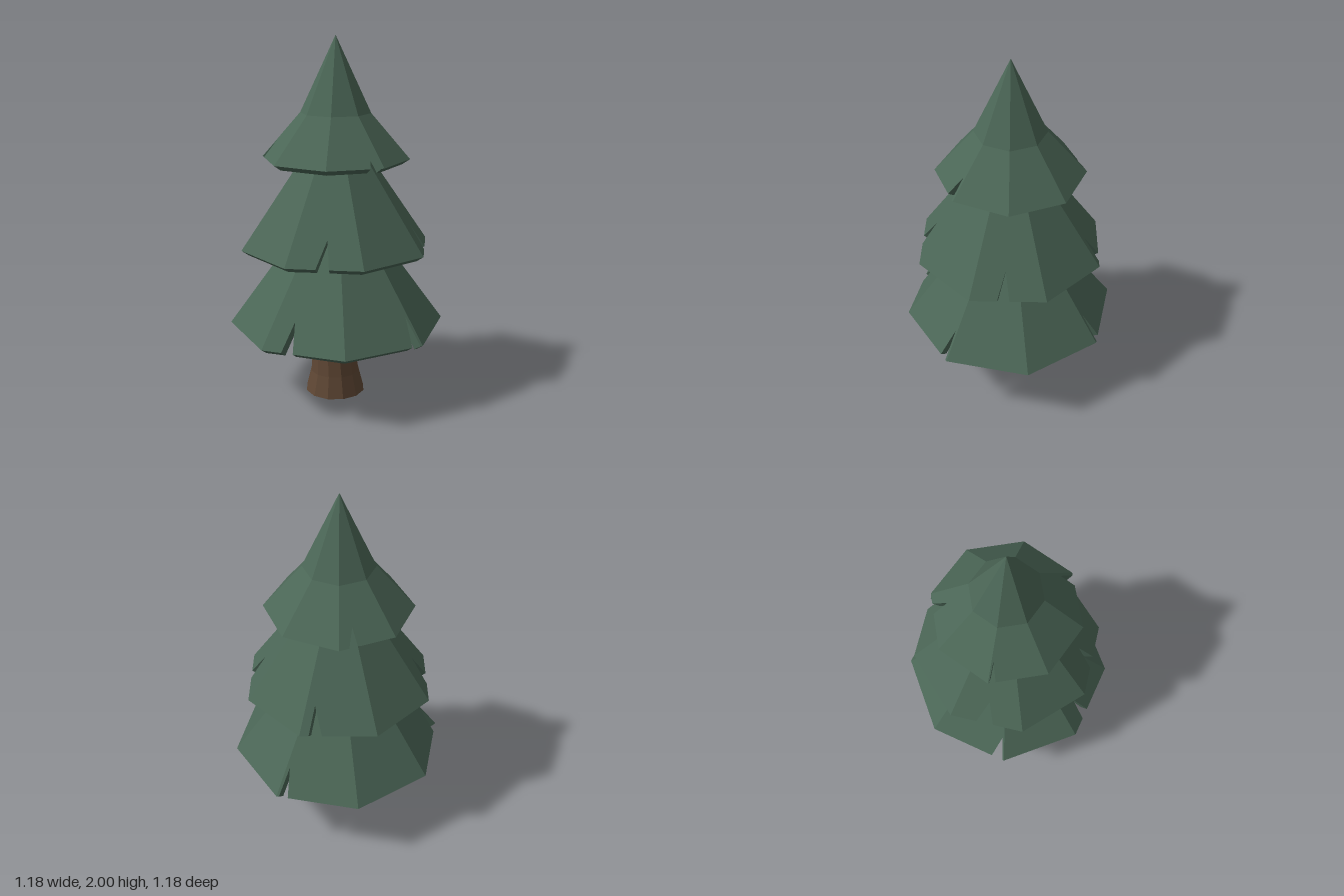
import * as THREE from 'three';

const lerp = (a, b, t) => a.clone().lerp(b, t);
const ring = (r, y, turn) => Array.from({ length: 8 }, (_, k) => {
  const a = THREE.MathUtils.degToRad(turn + 45 * k);
  return new THREE.Vector3(r * Math.cos(a), y, r * Math.sin(a));
});
// moves a point inwards and down by the shell thickness
function inset(p) {
  const r = Math.hypot(p.x, p.z);
  if (r < 0.04) return new THREE.Vector3(0, p.y - 0.08, 0);
  const s = (r - 0.04) / r;
  return new THREE.Vector3(p.x * s, p.y - 0.028, p.z * s);
}

// adds a closed band of triangles between two rows of points
function band(out, upper, lower, flip = false) {
  const add = (a, b, c) => {
    if (a.distanceTo(b) < 1e-5 || b.distanceTo(c) < 1e-5 || a.distanceTo(c) < 1e-5) return;
    for (const p of flip ? [a, c, b] : [a, b, c]) out.push(p.x, p.y, p.z);
  };
  upper.forEach((u, i) => {
    const j = (i + 1) % upper.length;
    add(u, upper[j], lower[i]);
    add(upper[j], lower[j], lower[i]);
  });
}

// hollow eight-sided skirt of branches; notches are [edge, start, tip, end, depth]
function skirt({ r, y, turn, topR, topY, tipY, notches }) {
  const low = ring(r, y, turn), high = ring(topR, topY, turn);
  const outer = [], upper = [];
  for (let k = 0; k < 8; k++) {
    const n = (k + 1) % 8;
    outer.push(low[k]);
    upper.push(high[k]);
    for (const [edge, t1, tip, t2, depth] of notches) {
      if (edge !== k) continue;
      const at = (t) => lerp(low[k], low[n], t);
      outer.push(at(t1), lerp(at(tip), lerp(high[k], high[n], tip), depth), at(t2));
      upper.push(high[k], high[k], high[n]);
    }
  }
  const rim = outer.map(inset), pos = [];
  band(pos, upper, outer);
  band(pos, outer, rim);
  band(pos, upper.map(inset), rim, true);
  // pointed crown
  if (tipY) band(pos, high.map(() => new THREE.Vector3(0, tipY, 0)), high);
  const g = new THREE.BufferGeometry();
  g.setAttribute('position', new THREE.Float32BufferAttribute(pos, 3));
  g.computeVertexNormals();
  return g;
}

// trunk with a flared foot, leaning slightly
function trunkGeometry() {
  const rows = [ // y, centre x, centre z, radius
    [0, -0.015, 0.017, 0.168],
    [0.12, -0.017, 0.02, 0.138],
    [0.385, -0.03, 0, 0.114],
    [0.95, -0.02, -0.005, 0.065],
  ];
  const g = new THREE.CylinderGeometry(1, 1, 3, 12, 3);
  const p = g.attributes.position;
  for (let i = 0; i < p.count; i++) {
    const [y, cx, cz, r] = rows[Math.round(p.getY(i) + 1.5)];
    p.setXYZ(i, cx + p.getX(i) * r, y, cz + p.getZ(i) * r);
  }
  g.computeVertexNormals();
  return g;
}

export function createModel() {
  const needles = new THREE.MeshStandardMaterial({ color: 0x4b6656, flatShading: true });
  needles.name = 'needleGreen';
  const bark = new THREE.MeshStandardMaterial({ color: 0x5f4734, flatShading: true });
  bark.name = 'barkBrown';

  const tree = new THREE.Group();
  tree.name = 'pineTree';
  const add = (name, geometry, material, x = 0, z = 0) => {
    const m = new THREE.Mesh(geometry, material);
    m.name = name;
    m.position.set(x, 0, z);
    tree.add(m);
  };

  add('trunk', trunkGeometry(), bark);
  add('lowerBranches', skirt({
    r: 0.6, y: 0.41, turn: 11.5, topR: 0, topY: 1.236,
    notches: [[1, 0.03, 0.04, 0.14, 0.17], [2, 0.62, 0.7, 0.76, 0.17],
      [4, 0.02, 0.03, 0.17, 0.17], [6, 0.86, 0.95, 0.97, 0.17]],
  }), needles);
  add('middleBranches', skirt({
    r: 0.533, y: 0.857, turn: 0, topR: 0, topY: 1.625,
    notches: [[0, 0.48, 0.54, 0.64, 0.175], [2, 0.44, 0.48, 0.61, 0.175],
      [4, 0.41, 0.5, 0.64, 0.175], [6, 0.71, 0.86, 0.88, 0.175]],
  }), needles, -0.004, -0.005);
  add('upperBranches', skirt({
    r: 0.405, y: 1.345, turn: 22.5, topR: 0.193, topY: 1.59, tipY: 2,
    notches: [[1, 0.05, 0.07, 0.24, 0.39], [3, 0.87, 0.96, 0.98, 0.39],
      [5, 0.63, 0.7, 0.82, 0.39]],
  }), needles, -0.005, -0.008);
  return tree;
}
